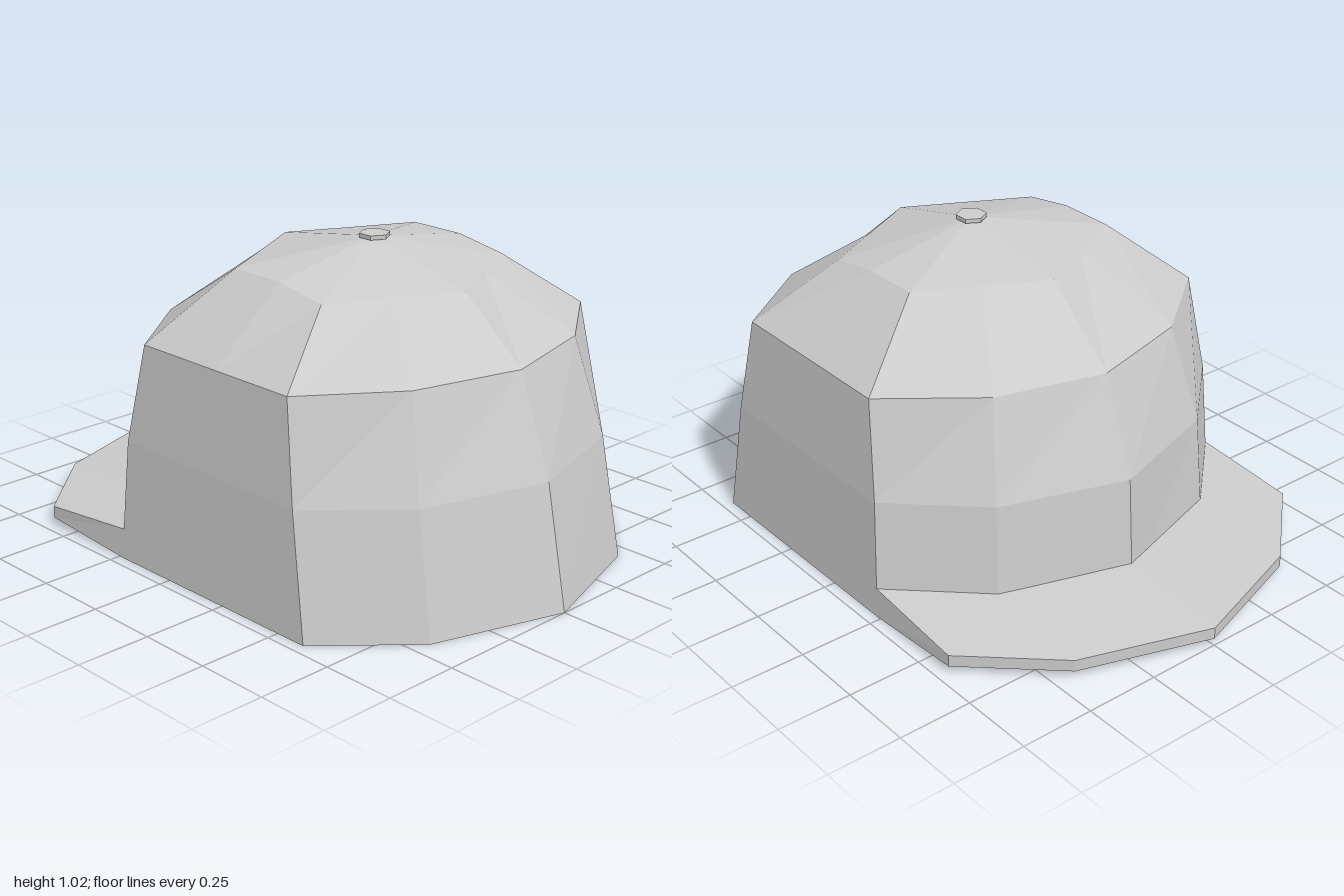
import * as THREE from 'three';

const material = new THREE.MeshStandardMaterial({ color: 0xcccccc, flatShading: true, side: THREE.DoubleSide });

// Mirrors a half row (front centre, round +x, to back centre) into a full ring.
const mirrorRow = (half) => [...half, ...half.slice(1, -1).reverse().map(([x, y, z]) => [-x, y, z])];

// Pushes polygons (corner lists) as triangle fans into one flat-shaded mesh.
function polygonMesh(name, polygons) {
  const positions = [];
  for (const p of polygons)
    for (let i = 1; i < p.length - 1; i++) positions.push(...p[0], ...p[i], ...p[i + 1]);
  const geometry = new THREE.BufferGeometry();
  geometry.setAttribute('position', new THREE.Float32BufferAttribute(positions, 3));
  geometry.computeVertexNormals();
  const mesh = new THREE.Mesh(geometry, material);
  mesh.name = name;
  return mesh;
}

// Quads between consecutive rows; closed rows wrap around.
function skin(rows, closed) {
  const quads = [];
  const n = rows[0].length;
  for (let i = 0; i < rows.length - 1; i++)
    for (let j = 0; j < (closed ? n : n - 1); j++) {
      const k = (j + 1) % n;
      quads.push([rows[i][j], rows[i][k], rows[i + 1][k], rows[i + 1][j]]);
    }
  return quads;
}

export function createModel() {
  const group = new THREE.Group();
  group.name = 'cap';

  // Crown cross-sections, from the rim upwards
  const rings = [
    [[0, 0, 1], [0.44, 0, 0.86], [0.712, 0, 0.61], [0.712, 0, 0.185], [0.712, 0, -0.235], [0.435, 0, -0.495], [0, 0, -0.63]],
    [[0, 0.4, 0.92], [0.42, 0.4, 0.79], [0.69, 0.4, 0.545], [0.69, 0.4, 0.185], [0.69, 0.4, -0.212], [0.42, 0.4, -0.465], [0, 0.4, -0.602]],
    [[0, 0.725, 0.8], [0.365, 0.725, 0.705], [0.657, 0.725, 0.49], [0.657, 0.725, 0.18], [0.657, 0.725, -0.155], [0.365, 0.725, -0.382], [0, 0.725, -0.482]],
    [[0, 0.915, 0.572], [0.2, 0.915, 0.468], [0.4, 0.915, 0.363], [0.4, 0.945, 0.18], [0.4, 0.945, -0.02], [0.2, 0.945, -0.122], [0, 0.945, -0.227]],
  ].map(mirrorRow);
  const apex = [0, 1.015, 0.185];
  const top = rings[3];
  const cap = top.map((p, j) => [p, top[(j + 1) % top.length], apex]);
  group.add(polygonMesh('crown', [...skin(rings, true), ...cap]));

  // Visor: a tapering slab around the -z half of the rim
  const innerBottom = rings[0].slice(4, 9);
  const innerTop = innerBottom.map((p, j) => p.map((v, a) => THREE.MathUtils.lerp(v, rings[1][4 + j][a], 0.25)));
  const outline = [[0.712, -0.6], [0.435, -0.855], [0, -1], [-0.435, -0.855], [-0.712, -0.6]];
  const outerBottom = outline.map(([x, z]) => [x, 0.025, z]);
  const outerTop = outline.map(([x, z]) => [x, 0.065, z]);
  const section = [innerBottom, outerBottom, outerTop, innerTop];
  const rightEnd = section.map((row) => row[4]).reverse();
  const leftEnd = section.map((row) => row[0]);
  group.add(polygonMesh('visor', [...skin(section, false), leftEnd, rightEnd]));

  // Button on the apex
  const button = new THREE.Mesh(new THREE.CylinderGeometry(0.05, 0.05, 0.014, 6), material);
  button.name = 'topButton';
  button.position.set(0, 1.018, 0.185);
  group.add(button);

  return group;
}
